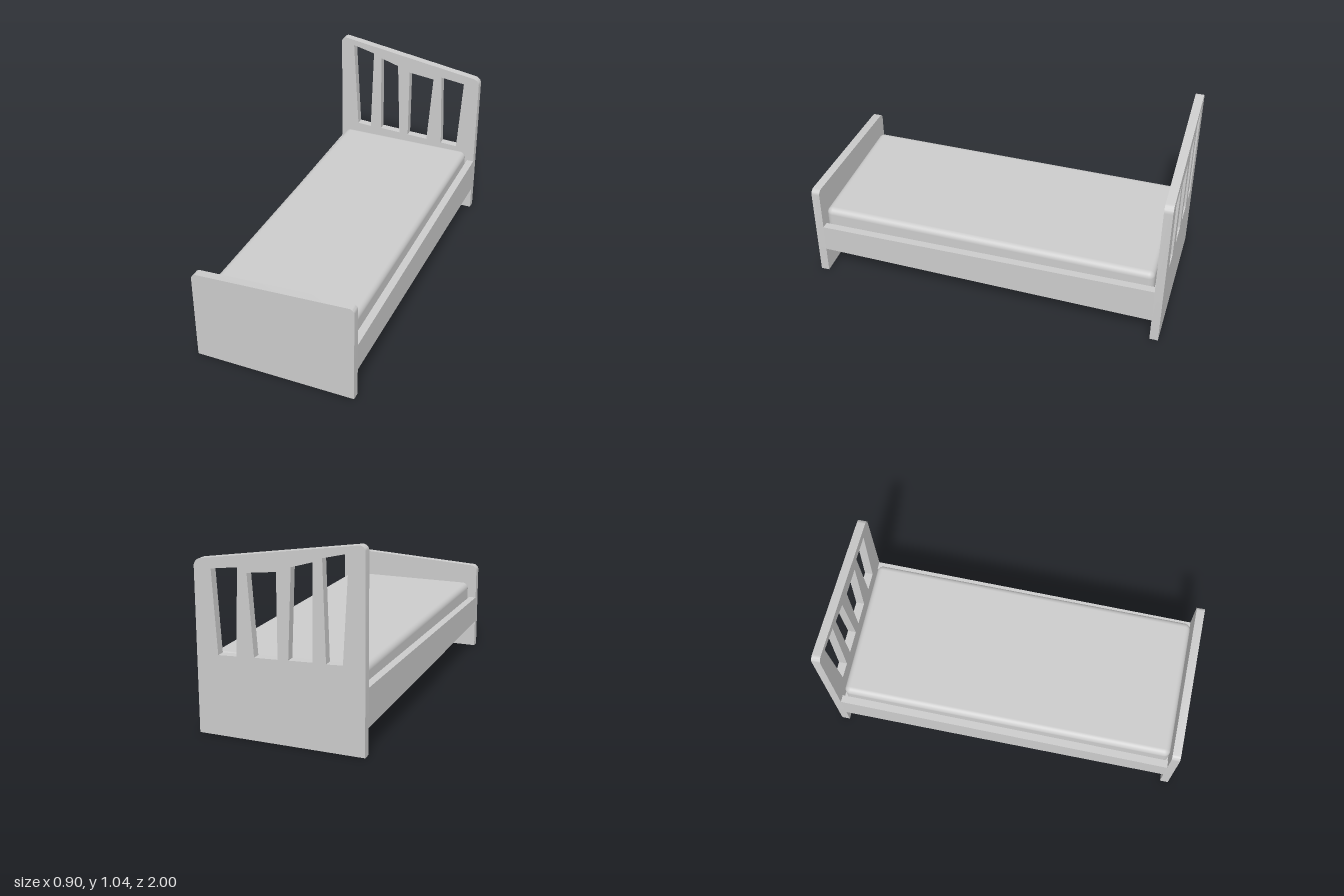
import * as THREE from 'three';
import { toCreasedNormals } from 'three/addons/utils/BufferGeometryUtils.js';
import { RoundedBoxGeometry } from 'three/addons/geometries/RoundedBoxGeometry.js';

const HALF_W = 0.452;
const BOARD = 0.047; // thickness of the end boards
const RAIL = 0.042;  // thickness of the side rails
const material = new THREE.MeshStandardMaterial({ color: 0xcccccc });

function addMesh(group, name, geometry) {
  const mesh = new THREE.Mesh(geometry, material);
  mesh.name = name;
  group.add(mesh);
  return mesh;
}

// Polygon from corner points
const polygon = (points) => new THREE.Shape(points.map(([x, y]) => new THREE.Vector2(x, y)));

function extrude(shape, depth) {
  const geometry = new THREE.ExtrudeGeometry(shape, { depth, bevelEnabled: false, curveSegments: 8 });
  return toCreasedNormals(geometry, 0.6);
}

// End board with a slanting top edge and rounded upper corners
function boardShape(leftY, rightY, r) {
  const w = HALF_W;
  const drop = ((rightY - leftY) / (2 * w)) * r;
  const s = new THREE.Shape();
  s.moveTo(-w, 0);
  s.lineTo(w, 0);
  s.lineTo(w, rightY - r);
  s.bezierCurveTo(w, rightY - r * 0.45, w - r * 0.45, rightY - drop * 0.45, w - r, rightY - drop);
  s.lineTo(-w + r, leftY + drop);
  s.bezierCurveTo(-w + r * 0.45, leftY + drop * 0.45, -w, leftY - r * 0.45, -w, leftY - r);
  s.closePath();
  return s;
}

// Side profile of the frame, drawn with -z to the right
function frameGeometry(profile, width) {
  const geometry = extrude(polygon(profile), width);
  geometry.rotateY(Math.PI / 2);
  geometry.translate(-width / 2, 0, 0);
  return geometry;
}

export function createModel() {
  const bed = new THREE.Group();
  bed.name = 'bed';

  // Headboard with four crooked openings
  const head = boardShape(1.047, 0.908, 0.035);
  const openings = [
    [[-0.37, 1.0], [-0.235, 0.967], [-0.251, 0.45], [-0.338, 0.455]],
    [[-0.185, 0.943], [-0.073, 0.91], [-0.052, 0.445], [-0.18, 0.45]],
    [[0.005, 0.88], [0.162, 0.862], [0.133, 0.437], [0.005, 0.442]],
    [[0.213, 0.885], [0.358, 0.867], [0.332, 0.427], [0.23, 0.432]],
  ];
  for (const corners of openings) head.holes.push(polygon(corners));
  addMesh(bed, 'headboard', extrude(head, BOARD)).position.z = -1;

  // Solid footboard
  addMesh(bed, 'footboard', extrude(boardShape(0.527, 0.575, 0.03), BOARD)).position.z = 1 - BOARD;

  // Side rails, deeper towards the head
  const end = 1 - BOARD;
  const railProfile = [[-end, 0.16], [end, 0.138], [end, 0.343], [-end, 0.32]];
  for (const [name, side] of [['leftRail', 1], ['rightRail', -1]]) {
    addMesh(bed, name, frameGeometry(railProfile, RAIL)).position.x = side * (HALF_W - RAIL / 2);
  }

  // Base between the rails
  const baseProfile = [[-end, 0.16], [end, 0.138], [end, 0.28], [-end, 0.28]];
  addMesh(bed, 'base', frameGeometry(baseProfile, 2 * (HALF_W - RAIL)));

  // Mattress
  const mattress = new RoundedBoxGeometry(0.816, 0.17, 1.888, 5, 0.035);
  addMesh(bed, 'mattress', mattress).position.set(0, 0.335, 0.006);

  return bed;
}
